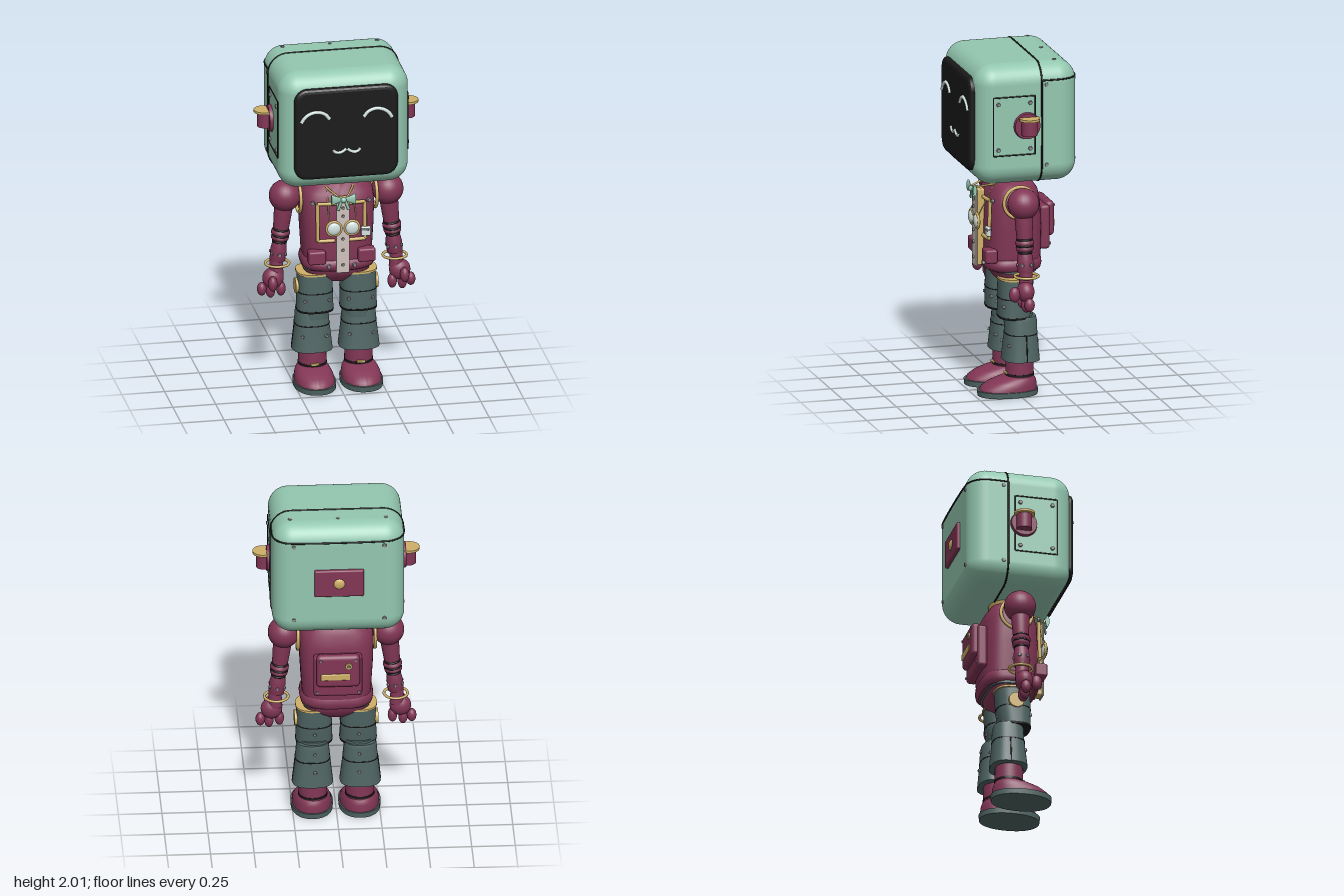
import * as THREE from 'three';
import { RoundedBoxGeometry } from 'three/addons/geometries/RoundedBoxGeometry.js';

const mat = (name, color) => Object.assign(new THREE.MeshStandardMaterial({ color }), { name });
const V = (x, y, z) => new THREE.Vector3(x, y, z);

export function createModel() {
  const mint = mat('mint', 0x93c7b0), maroon = mat('maroon', 0x823655), slate = mat('slate', 0x4f6563);
  const gold = mat('gold', 0xcfb068), black = mat('black', 0x1a1a1a), steel = mat('steel', 0x8b8990);
  const pale = mat('pale', 0xd3e2e0), cream = mat('cream', 0xcfc1bc);
  const root = new THREE.Group();
  root.name = 'robot';

  // ---- helpers ----
  const add = (name, geo, m, x = 0, y = 0, z = 0, parent = root) => {
    const mesh = new THREE.Mesh(geo, m);
    mesh.name = name;
    mesh.position.set(x, y, z);
    parent.add(mesh);
    return mesh;
  };
  const box = (w, h, d, r = 0.012) => new RoundedBoxGeometry(w, h, d, 3, r);
  const cyl = (r1, r2, h, n = 32) => new THREE.CylinderGeometry(r1, r2, h, n);
  const ball = (r) => new THREE.SphereGeometry(r, 24, 16);
  const ring = (r, t) => new THREE.TorusGeometry(r, t, 10, 40);
  const tube = (pts, r, closed = false) =>
    new THREE.TubeGeometry(new THREE.CatmullRomCurve3(pts, closed, 'centripetal'), pts.length * 6, r, 8, closed);
  const lathe = (pts) => new THREE.LatheGeometry(pts.map((p) => new THREE.Vector2(...p)), 28);
  // solid through superellipse rings [y, halfX, halfZ, centreZ], listed from top to bottom
  const loft = (rings, p = 2) => {
    const g = new THREE.CylinderGeometry(1, 1, 1, 48, rings.length - 1), a = g.attributes.position;
    const bend = (c) => Math.sign(c) * Math.abs(c) ** (2 / p);
    for (let i = 0; i < a.count; i++) {
      const [y, hx, hz, cz = 0] = rings[Math.round((0.5 - a.getY(i)) * (rings.length - 1))];
      a.setXYZ(i, hx * bend(a.getX(i)), y, cz + hz * bend(a.getZ(i)));
    }
    g.computeVertexNormals();
    return g;
  };
  // cylinder from point a to point b
  const rod = (name, a, b, r, m) => {
    const mesh = add(name, cyl(r, r, a.distanceTo(b), 8), m);
    mesh.position.copy(a).lerp(b, 0.5);
    mesh.quaternion.setFromUnitVectors(V(0, 1, 0), b.clone().sub(a).normalize());
  };
  const bolt = (x, y, z, n, parent = root, r = 0.014) => {
    const b = add('bolt', cyl(r * 0.8, r, 0.014, 6), steel, x, y, z, parent);
    b.quaternion.setFromUnitVectors(V(0, 1, 0), n.normalize());
  };
  const roundRect = (w, h, r) => {
    const s = new THREE.Shape();
    s.absarc(w - r, h - r, r, 0, Math.PI / 2);
    s.absarc(r - w, h - r, r, Math.PI / 2, Math.PI);
    s.absarc(r - w, r - h, r, Math.PI, Math.PI * 1.5);
    s.absarc(w - r, r - h, r, Math.PI * 1.5, Math.PI * 2);
    return s;
  };

  // ---- head ----
  add('head', new RoundedBoxGeometry(0.76, 0.71, 0.61, 6, 0.115), mint, 0, 1.645, 0);
  add('faceScreen', new THREE.ExtrudeGeometry(roundRect(0.277, 0.252, 0.05), {
    depth: 0.02, bevelThickness: 0.018, bevelSize: 0.025, bevelSegments: 3, curveSegments: 8,
  }), black, 0, 1.645, 0.29);
  const loop = roundRect(0.38, 0.355, 0.115).getPoints(8).map((p) => V(p.x, p.y + 1.645, -0.08));
  add('headSeam', tube(loop.slice(0, -1), 0.005, true), black);
  const arc = [0, 1, 2, 3, 4].map((i) => {
    const t = (i * Math.PI) / 8;
    return V(0.264 + 0.115 * Math.cos(t), 1.905, -0.189 - 0.115 * Math.sin(t));
  });
  const back = [V(0.379, 1.905, -0.08), ...arc];
  add('backSeam', tube([...back, ...back.map((p) => V(-p.x, p.y, p.z)).reverse()], 0.005), black);
  const smile = (x, s) => [[-0.04, 0.012], [-0.032, -0.004], [-0.012, -0.012], [0.01, -0.008], [0.038, 0.01]]
    .map(([a, b]) => V(x - s * a, 1.54 + b, 0.33));
  for (const s of [1, -1]) {
    const eye = [[0.1, 1.738], [0.125, 1.768], [0.165, 1.784], [0.21, 1.778], [0.245, 1.755], [0.265, 1.725]];
    add('eye', tube(eye.map(([x, y]) => V(s * x, y, 0.329)), 0.011), pale);
    add('mouth', tube(smile(s * 0.039, s), 0.009), pale);
    // side panel outline, bolts and ear
    const c = [V(s * 0.38, 1.82, 0.21), V(s * 0.38, 1.82, -0.04), V(s * 0.38, 1.475, -0.04), V(s * 0.38, 1.475, 0.21)];
    c.forEach((p, i) => rod('sidePanelLine', p, c[(i + 1) % 4], 0.004, black));
    for (const y of [1.78, 1.51]) for (const z of [0.18, -0.01]) bolt(s * 0.383, y, z, V(s, 0, 0));
    for (const y of [1.88, 1.405]) {
      bolt(s * 0.378, y, -0.108, V(s, 0, 0));
      bolt(s * 0.26, y, -0.304, V(0, 0, -1));
    }
    add('earBase', cyl(0.075, 0.08, 0.025), maroon, s * 0.388, 1.645, 0.01).rotation.z = -s * Math.PI / 2;
    add('ear', cyl(0.045, 0.045, 0.09), maroon, s * 0.415, 1.642, 0.005);
    add('earCap', cyl(0.06, 0.06, 0.014), gold, s * 0.42, 1.692, 0.005);
  }
  for (const x of [-0.275, 0, 0.275]) bolt(x, 2 - 0.004, -0.183, V(0, 1, 0));
  add('backPlate', box(0.285, 0.17, 0.03, 0.01), maroon, 0, 1.645, -0.31);
  add('backKnob', ball(0.033), gold, 0, 1.645, -0.322).scale.z = 0.45;

  // ---- neck and torso ----
  add('neck', lathe([[0.06, 1.2], [0.07, 1.24], [0.085, 1.26], [0.1, 1.28], [0.1, 1.31]]), gold);
  add('torso', loft([
    [1.255, 0.09, 0.07], [1.24, 0.16, 0.11], [1.2, 0.205, 0.14, 0.003], [1.12, 0.215, 0.158, 0.005],
    [0.98, 0.21, 0.165, 0.005], [0.82, 0.2, 0.165, 0.005], [0.75, 0.195, 0.155, 0.005],
  ], 3), maroon);
  add('hem', loft([[0.805, 0.195, 0.155, 0.005], [0.79, 0.208, 0.168, 0.008], [0.765, 0.213, 0.172, 0.01],
    [0.74, 0.207, 0.165, 0.008], [0.728, 0.19, 0.15, 0.005]], 3), maroon);
  add('waistband', loft([[0.762, 0.2, 0.13], [0.72, 0.2, 0.13]], 3), slate);
  add('pelvis', loft([[0.74, 0.19, 0.12], [0.7, 0.19, 0.115], [0.66, 0.15, 0.09], [0.63, 0.07, 0.06]], 3), maroon);

  // shirt front, bow tie and hanging goggles
  add('shirtBacking', box(0.066, 0.45, 0.05, 0.008), gold, 0, 0.97, 0.185);
  add('shirtStrip', box(0.078, 0.46, 0.01, 0.004), cream, 0, 0.97, 0.212);
  for (const y of [0.79, 0.88, 0.95, 1.09, 1.14]) bolt(0, y, 0.218, V(0, 0, 1), root, 0.011);
  add('bowKnot', ball(0.017), mint, 0, 1.195, 0.232);
  for (const s of [1, -1]) {
    const wing = add('bowWing', cyl(0.01, 0.034, 0.06, 16), mint, s * 0.04, 1.197, 0.23);
    wing.rotation.z = s * Math.PI / 2;
    wing.scale.z = 0.35;
    add('bowTail', box(0.018, 0.06, 0.008, 0.003), mint, s * 0.022, 1.16, 0.228).rotation.z = s * 0.35;
    add('neckCord', tube([V(s * 0.085, 1.245, 0), V(s * 0.08, 1.235, 0.1), V(s * 0.02, 1.205, 0.228)], 0.006), gold);
    rod('goggleCord', V(s * 0.075, 1.225, 0.12), V(s * 0.08, 1.05, 0.215), 0.004, gold);
    add('goggleLens', ball(0.04), pale, s * 0.053, 1.015, 0.216).scale.z = 0.45;
    add('goggleRim', ring(0.042, 0.008), gold, s * 0.053, 1.015, 0.214);
    // piping, pockets and hem bolts
    const p = [V(s * 0.03, 1.15, 0.17), V(s * 0.138, 1.15, 0.16), V(s * 0.138, 0.925, 0.167), V(s * 0.04, 0.925, 0.173)];
    for (let i = 0; i < 3; i++) rod('chestPiping', p[i], p[i + 1], 0.011, gold);
    add('frontPocket', box(0.1, 0.08, 0.07), maroon, s * 0.145, 0.83, 0.165);
    bolt(s * 0.165, 1.155, 0.155, V(s * 0.3, 0, 1));
    bolt(s * 0.075, 0.77, 0.183, V(0, 0, 1));
  }
  add('chestTag', box(0.055, 0.055, 0.025, 0.008), pale, 0.142, 0.972, 0.173);
  add('chestTagClip', box(0.06, 0.012, 0.03, 0.004), steel, 0.142, 0.985, 0.174);

  // backpack
  add('backpack', box(0.28, 0.26, 0.06, 0.02), maroon, 0, 0.97, -0.17);
  add('backpackFlap', box(0.25, 0.205, 0.055, 0.025), maroon, 0, 1.015, -0.203);
  add('backpackBar', box(0.17, 0.04, 0.02, 0.006), gold, 0.015, 0.985, -0.228);
  add('backpackDial', cyl(0.02, 0.02, 0.016, 12), gold, -0.06, 1.055, -0.232).rotation.x = Math.PI / 2;
  bolt(-0.06, 1.055, -0.24, V(0, 0, -1), root, 0.01);
  for (const s of [1, -1]) {
    bolt(s * 0.1, 1.09, -0.228, V(0, 0, -1), root, 0.01);
    bolt(s * 0.12, 0.87, -0.2, V(0, 0, -1), root, 0.01);
  }

  for (const s of [1, -1]) {
    // ---- arm ----
    const arm = new THREE.Group();
    arm.name = s > 0 ? 'leftArm' : 'rightArm';
    arm.position.set(s * 0.3, 1.16, 0.008);
    arm.rotation.z = s * 0.11;
    root.add(arm);
    const cuff = add('shoulderRing', ring(0.092, 0.01), gold, s * 0.222, 1.15, 0.008);
    cuff.rotation.y = Math.PI / 2;
    add('shoulder', ball(0.092), maroon, 0, 0, 0, arm);
    add('armShell', lathe([[0.03, -0.4], [0.045, -0.395], [0.047, -0.33], [0.04, -0.285], [0.036, -0.275], [0.05, -0.265],
      [0.052, -0.25], [0.042, -0.242], [0.054, -0.232], [0.054, -0.215], [0.04, -0.205], [0.046, -0.195],
      [0.052, -0.1], [0.055, -0.05]]), maroon, 0, 0, 0, arm);
    for (const [y, r] of [[-0.205, 0.043], [-0.242, 0.045], [-0.28, 0.038]])
      add('elbowBand', ring(r, 0.006), black, 0, y, 0, arm).rotation.x = Math.PI / 2;
    for (const a of [-0.5, 0.6, 1.57, 2.6, 3.6, 4.71])
      bolt(0.046 * Math.cos(a), -0.35, 0.046 * Math.sin(a), V(Math.cos(a), 0, Math.sin(a)), arm, 0.012);
    add('bracelet', ring(0.068, 0.008), gold, s * 0.343, 0.745, 0.002).rotation.x = Math.PI / 2;
    add('wrist', cyl(0.036, 0.042, 0.1), maroon, s * 0.35, 0.73, 0.008);
    // hand: palm, three fingers and thumb
    const blobs = [[0.37, 0.66, 0.015, 0.062, 0.062, 0.05], [0.325, 0.595, 0.02, 0.027, 0.045, 0.03],
      [0.385, 0.585, 0.015, 0.027, 0.045, 0.03], [0.435, 0.595, 0.01, 0.027, 0.04, 0.03],
      [0.385, 0.65, 0.085, 0.027, 0.045, 0.032]];
    blobs.forEach(([x, y, z, a, b, c], i) =>
      add(['palm', 'finger', 'finger', 'finger', 'thumb'][i], ball(1), maroon, s * x, y, z).scale.set(a, b, c));

    // ---- leg ----
    const leg = new THREE.Group();
    leg.name = s > 0 ? 'leftLeg' : 'rightLeg';
    leg.position.x = s * 0.127;
    root.add(leg);
    add('thigh', loft([[0.69, 0.1, 0.1, 0.005], [0.57, 0.103, 0.098, 0.01], [0.465, 0.106, 0.09, 0.018]], 2.6), slate, 0, 0, 0, leg);
    add('thighTrim', loft([[0.694, 0.107, 0.106, 0.005], [0.682, 0.107, 0.106, 0.005]], 2.6), gold, 0, 0, 0, leg);
    add('thighSeam', loft([[0.576, 0.105, 0.1, 0.01], [0.57, 0.105, 0.1, 0.01]], 2.6), black, 0, 0, 0, leg);
    add('thighHem', loft([[0.466, 0.108, 0.092, 0.018], [0.454, 0.106, 0.09, 0.018]], 2.6), black, 0, 0, 0, leg);
    add('knee', loft([[0.48, 0.085, 0.08, -0.01], [0.4, 0.08, 0.08, -0.01]], 2.4), slate, 0, 0, 0, leg);
    add('shin', loft([[0.465, 0.088, 0.08, -0.025], [0.44, 0.094, 0.087, -0.024], [0.36, 0.1, 0.092, -0.022],
      [0.205, 0.118, 0.107, -0.02]], 2.6), slate, s * 0.01, 0, 0, leg);
    add('shinSeam', loft([[0.363, 0.102, 0.094, -0.022], [0.357, 0.102, 0.094, -0.022]], 2.6), black, s * 0.01, 0, 0, leg);
    rod('shinSideLine', V(s * 0.237, 0.357, -0.03), V(s * 0.253, 0.208, -0.03), 0.004, black);
    bolt(0.07 * s, 0.53, 0.098, V(s * 0.4, 0, 1), leg, 0.011);
    bolt(-0.07 * s, 0.53, 0.098, V(-s * 0.4, 0, 1), leg, 0.011);
    bolt(s * 0.08, 0.3, 0.066, V(s * 0.5, 0.1, 1), leg, 0.011);
    bolt(-s * 0.06, 0.3, 0.071, V(-s * 0.4, 0.1, 1), leg, 0.011);
    for (const [y, z] of [[0.53, -0.083], [0.3, -0.124], [0.415, -0.113]]) bolt(0, y, z, V(0, 0, -1), leg, 0.011);
    add('hipDisc', cyl(0.045, 0.045, 0.02), gold, s * 0.104, 0.6, 0.005, leg).rotation.z = Math.PI / 2;
    // ankle and shoe
    add('ankle', cyl(0.08, 0.082, 0.12), maroon, s * 0.008, 0.16, -0.016, leg);
    add('ankleBand', cyl(0.084, 0.084, 0.012), black, s * 0.008, 0.118, -0.016, leg);
    add('ankleBuckle', box(0.05, 0.014, 0.014, 0.004), gold, s * 0.008, 0.127, 0.067, leg);
    add('shoe', loft([[0.118, 0.055, 0.055, -0.02], [0.108, 0.08, 0.085, -0.01], [0.095, 0.094, 0.113, 0.008],
      [0.075, 0.106, 0.143, 0.032], [0.05, 0.113, 0.163, 0.05], [0.028, 0.114, 0.168, 0.054]], 2.2), maroon, s * 0.01, 0, 0, leg);
    add('sole', loft([[0.032, 0.122, 0.178, 0.056], [0, 0.12, 0.175, 0.056]], 2.2), slate, s * 0.01, 0, 0, leg);
  }
  return root;
}
